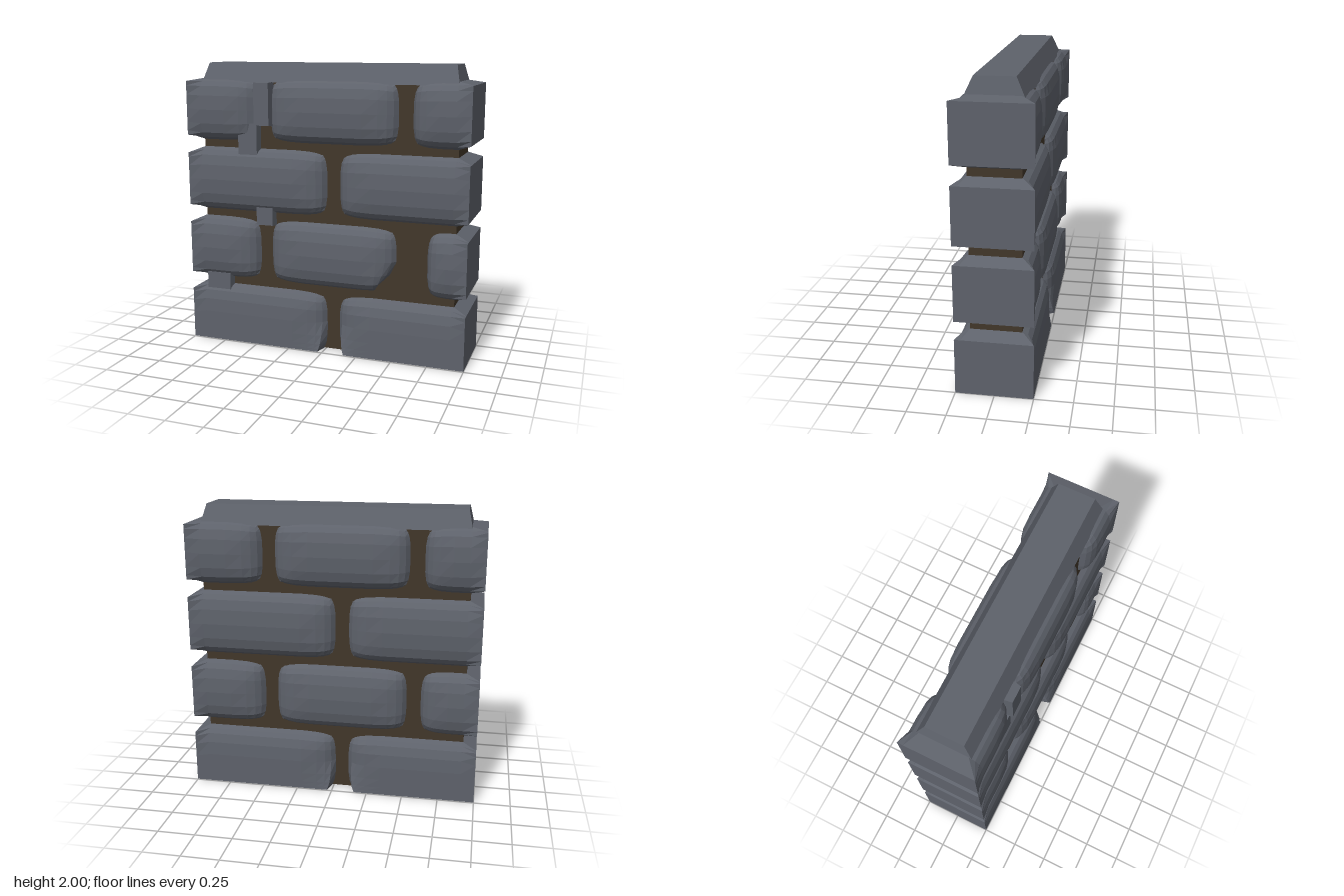
import * as THREE from 'three';

const stone = new THREE.MeshStandardMaterial({ color: 0x5e626b });
stone.name = 'grey stone';
const mortar = new THREE.MeshStandardMaterial({ color: 0x42372a });
mortar.name = 'brown mortar';

function add(parent, name, geometry, material) {
  const mesh = new THREE.Mesh(geometry, material);
  mesh.name = name;
  parent.add(mesh);
  return mesh;
}

// Block whose outer face (+z or +y) is smaller than its base
function taperedBlock(x0, x1, y0, y1, z0, z1, axis, inset) {
  const g = new THREE.BoxGeometry(x1 - x0, y1 - y0, z1 - z0).toNonIndexed();
  const p = g.attributes.position;
  for (let i = 0; i < p.count; i++) {
    const v = new THREE.Vector3().fromBufferAttribute(p, i);
    if (v[axis] > 0) {
      v.x -= Math.sign(v.x) * inset.x;
      v.y -= Math.sign(v.y) * (inset.y || 0);
      v.z -= Math.sign(v.z) * (inset.z || 0);
    }
    p.setXYZ(i, v.x, v.y, v.z);
  }
  g.translate((x0 + x1) / 2, (y0 + y1) / 2, (z0 + z1) / 2);
  g.computeVertexNormals();
  return g;
}

// Rounding towards a joint: distance from it, depth lost, share of the edge bend
const EDGE = [[0, 0.09, 1], [0.03, 0.05, 0.8], [0.07, 0.026, 0.5], [0.13, 0.01, 0.2], [0.24, 0, 0]];
// Rounding over the height of a brick: position, depth lost
const HEIGHT = [[-1, 0.09], [-0.9, 0.05], [-0.75, 0.025], [-0.45, 0.007], [0, 0],
  [0.45, 0.007], [0.75, 0.025], [0.9, 0.05], [1, 0.09]];

// Columns of a brick from x0 to x1; sides at x = -1 and 1 stay square
function brickColumns(x0, x1) {
  const s = Math.min(1, (x1 - x0) / 0.5);
  const side = (x, dir) => Math.abs(x) === 1
    ? [{ x, end: true, drop: 0, bend: 0, dir }, { x: x + dir * 0.1, drop: 0, bend: 0, dir }]
    : EDGE.map(([d, drop, bend]) => ({ x: x + dir * d * s, drop, bend, dir }));
  const left = side(x0, 1), right = side(x1, -1).reverse();
  return [...left, { x: (left.at(-1).x + right[0].x) / 2, drop: 0, bend: 0, dir: 1 }, ...right];
}

// Pillow-shaped half brick, facing +z
function brickGeometry(row, x0, x1, chip = 0) {
  const foot = row === 0;
  const low = foot ? 0.004 : row * 0.5, high = row * 0.5 + 0.375;
  const bottom = foot ? low : low - 0.037;
  const top = row === 3 ? 1.895 : high + 0.042;
  const grid = brickColumns(x0, x1).map((c) => {
    const pts = HEIGHT.map(([v, vDrop]) => {
      const flat = foot && v < 0;
      if (c.end) {
        const t = THREE.MathUtils.clamp(v / 0.9, -1, 1);
        return [c.x, (low + high) / 2 + t * (high - low) / 2, 0.25 - (Math.abs(v) === 1 && !flat ? 0.04 : 0)];
      }
      const loss = flat
        ? (c.bend === 1 ? 0.09 : c.drop * (1 + v))
        : Math.min(0.09, Math.hypot(vDrop, c.drop));
      let x = c.x + c.dir * c.bend * 0.03 * v ** 4;
      if (c.dir < 0) x -= chip * c.bend * Math.max(0, -v - 0.2);
      const hy = (top - bottom) / 2 - (flat ? 0 : 0.025 * c.bend);
      return [x, (top + bottom) / 2 + v * hy, 0.25 - loss];
    });
    // Top and bottom faces run back to the middle of the wall
    return [[pts[0][0], pts[0][1], 0], ...pts, [pts.at(-1)[0], pts.at(-1)[1], 0]];
  });
  const out = [];
  for (let i = 0; i < grid.length - 1; i++) {
    for (let j = 0; j < grid[0].length - 1; j++) {
      const a = grid[i][j], b = grid[i + 1][j], c = grid[i + 1][j + 1], d = grid[i][j + 1];
      out.push(...a, ...b, ...c, ...a, ...c, ...d);
    }
  }
  const g = new THREE.BufferGeometry();
  g.setAttribute('position', new THREE.Float32BufferAttribute(out, 3));
  g.computeVertexNormals();
  return g;
}

// Running bond: one joint in even rows, two joints in odd rows
function wallSide(name, damaged) {
  const side = new THREE.Group();
  side.name = name;
  for (let row = 0; row < 4; row++) {
    const worn = damaged && row === 1;
    const spans = row % 2 === 0
      ? [[-1, 0.02], [0.105, 1]]
      : [[-1, -0.48], [-0.4, 0.515], [worn ? 0.72 : 0.605, 1]];
    spans.forEach(([x0, x1], i) =>
      add(side, 'brick', brickGeometry(row, x0, x1, worn && i === 1 ? 0.17 : 0), stone));
  }
  return side;
}

export function createModel() {
  const wall = new THREE.Group();
  wall.name = 'brickWall';

  // Mortar core and its underside
  const core = add(wall, 'mortarCore', new THREE.BoxGeometry(1.82, 1.87, 0.33), mortar);
  core.position.y = 0.945;
  const base = add(wall, 'mortarBase', new THREE.BoxGeometry(1.8, 0.02, 0.25), mortar);
  base.position.y = 0.01;

  // Brick faces, front and back
  const front = wallSide('frontBricks', true);
  const back = wallSide('backBricks', false);
  back.rotation.y = Math.PI;
  wall.add(front, back);

  // Flat brick ends
  for (let row = 0; row < 4; row++) {
    for (const s of [-1, 1]) {
      const end = add(wall, 'brickEnd', new THREE.PlaneGeometry(0.5, 0.375), stone);
      end.position.set(s, row * 0.5 + 0.1875, 0);
      end.rotation.y = s * Math.PI / 2;
    }
  }

  // Bevelled top course
  add(wall, 'topCap', taperedBlock(-0.905, 0.905, 1.87, 2, -0.185, 0.185, 'y', { x: 0.03, z: 0.06 }), stone);

  // Stone lumps that bridge the joints on the front
  const lumps = [
    [-0.65, -0.46, 1.36, 1.6, 0.215],
    [-0.52, -0.36, 1.57, 1.88, 0.235],
    [-0.52, -0.35, 0.87, 1.02, 0.215],
    [-0.92, -0.69, 0.37, 0.51, 0.215],
  ];
  for (const [x0, x1, y0, y1, z] of lumps) {
    add(front, 'jointLump', taperedBlock(x0, x1, y0, y1, 0.1, z, 'z', { x: 0.025, y: 0.01 }), stone);
  }
  return wall;
}
